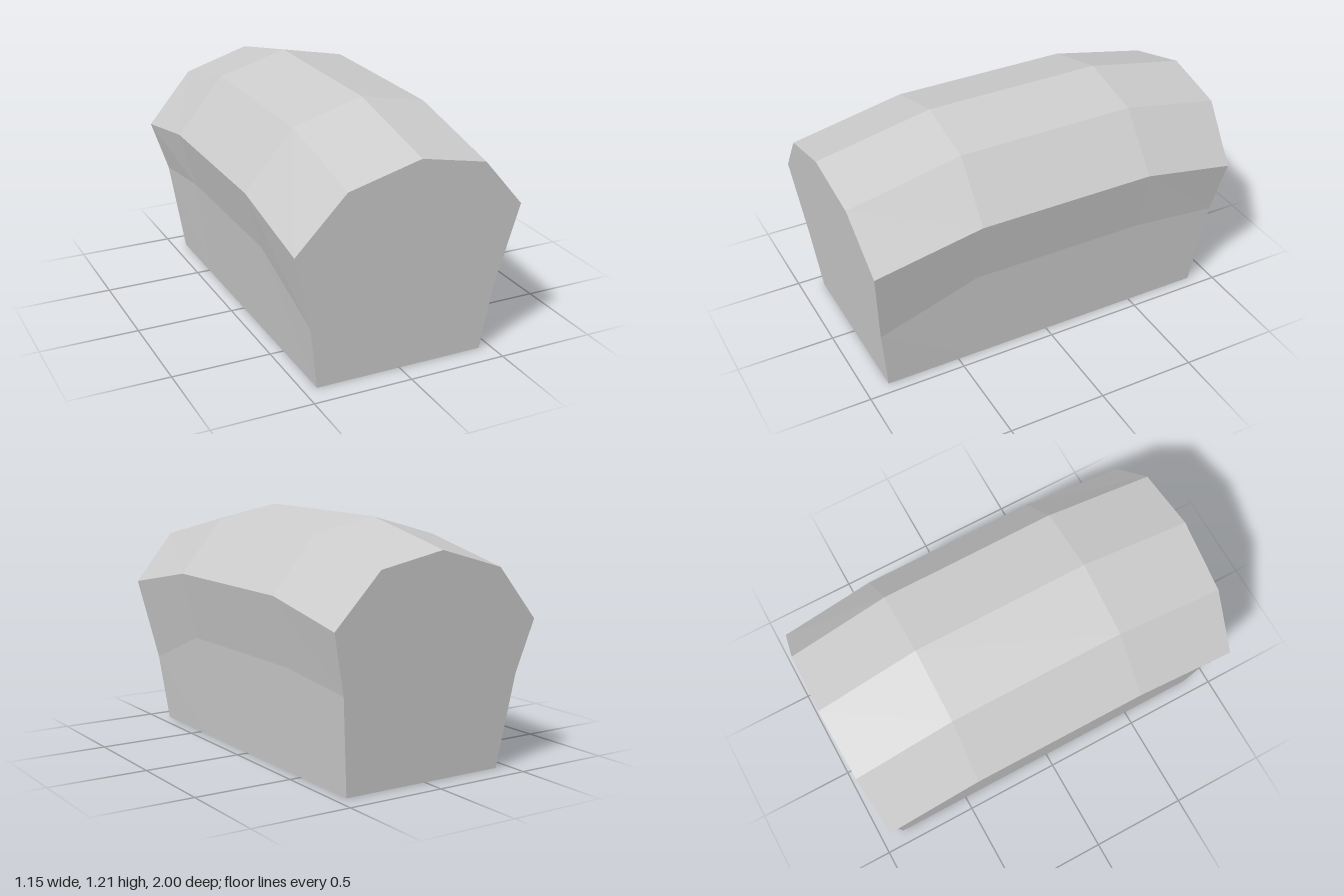
import * as THREE from 'three';

// Cross-sections run from the -x foot over the crown to the +x foot.
const front = [[-0.43, 0], [-0.48, 0.33], [-0.575, 0.715], [-0.335, 0.99], [0.02, 1.09],
  [0.355, 1.02], [0.575, 0.77], [0.48, 0.345], [0.44, 0]];
const middle = [[-0.43, 0], [-0.5, 0.53], [-0.578, 0.82], [-0.335, 1.105], [0.02, 1.207],
  [0.355, 1.14], [0.575, 0.872], [0.5, 0.53], [0.44, 0]];
const back = [[-0.43, 0], [-0.495, 0.47], [-0.577, 0.73], [-0.335, 0.995], [0.01, 1.096],
  [0.34, 1.03], [0.562, 0.775], [0.492, 0.48], [0.44, 0]];

// The two end faces lean outward towards the top.
const lean = y => 0.88 + 0.11 * y;
const place = (profile, depth) => profile.map(([x, y]) => [x, y, depth(y)]);

function loft(sections) {
  const points = [];
  const n = sections[0].length;
  // Sides, roof and underside
  for (let s = 0; s < sections.length - 1; s++) {
    for (let i = 0; i < n; i++) {
      const j = (i + 1) % n;
      const a = sections[s][i], b = sections[s][j];
      const c = sections[s + 1][j], d = sections[s + 1][i];
      points.push(a, b, c, a, c, d);
    }
  }
  // Flat end faces
  const first = sections[0], last = sections[sections.length - 1];
  const frontHub = [0, 0.5, lean(0.5)], backHub = [0, 0.5, -lean(0.5)];
  for (let i = 0; i < n; i++) {
    const j = (i + 1) % n;
    points.push(frontHub, first[j], first[i], backHub, last[i], last[j]);
  }
  const geometry = new THREE.BufferGeometry();
  geometry.setAttribute('position', new THREE.Float32BufferAttribute(points.flat(), 3));
  geometry.computeVertexNormals();
  return geometry;
}

export function createModel() {
  const group = new THREE.Group();
  const grey = new THREE.MeshStandardMaterial({ color: 0xcccccc });
  grey.name = 'light grey';

  // Faceted block with an arched top
  const block = new THREE.Mesh(loft([
    place(front, lean),
    place(middle, () => 0.42),
    place(middle, () => -0.48),
    place(back, y => -lean(y)),
  ]), grey);
  block.name = 'archedBlock';
  group.add(block);
  return group;
}
